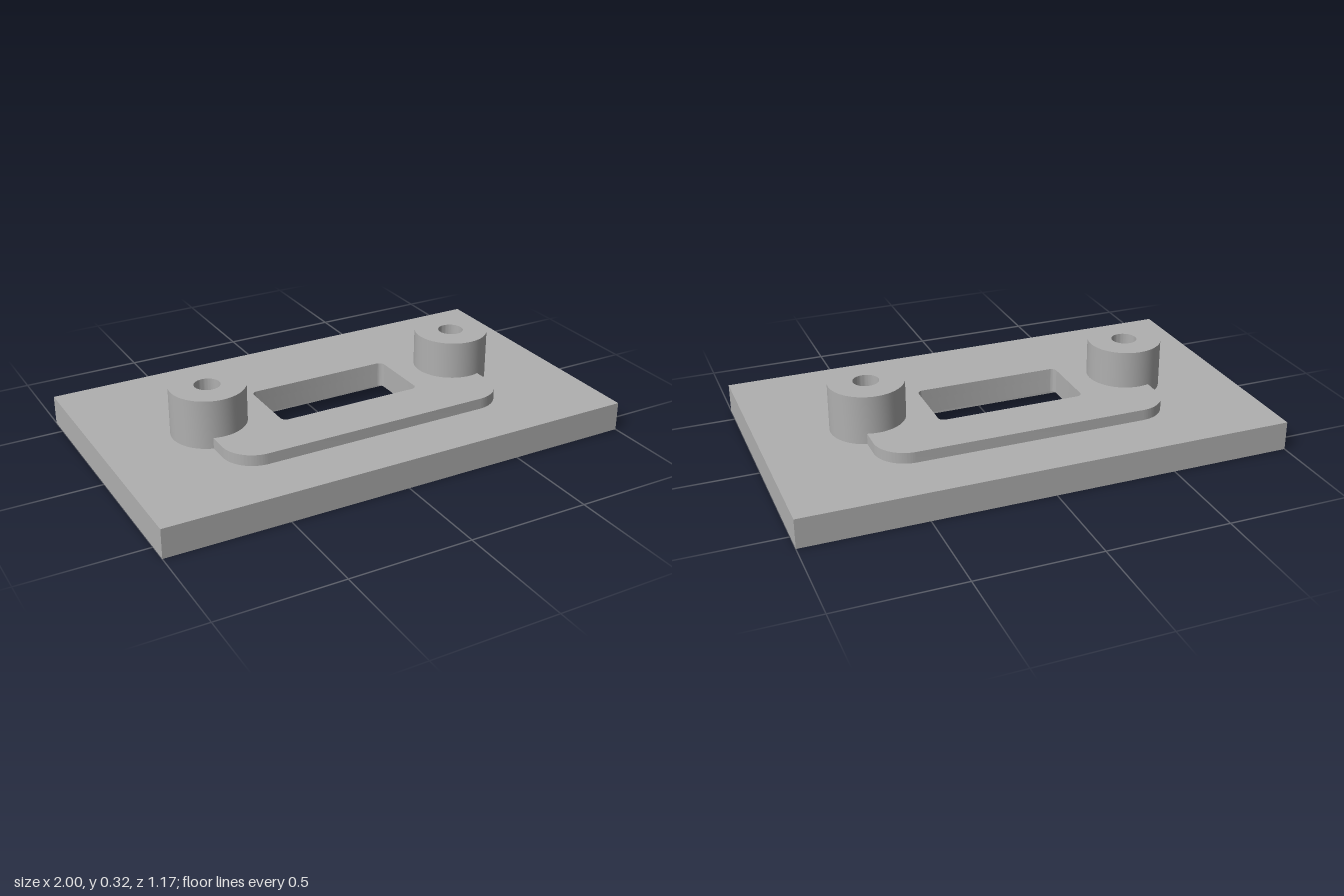
import * as THREE from 'three';
import { toCreasedNormals } from 'three/addons/utils/BufferGeometryUtils.js';

const grey = new THREE.MeshStandardMaterial({ color: 0xb0b0b0 });
grey.name = 'grey';

const BOSS_X = 0.56, BOSS_R = 0.152, BORE_R = 0.052;

// Rounded rectangle from half sizes and corner radius
function roundedRect(path, a, b, r) {
  path.moveTo(a, -b + r);
  path.lineTo(a, b - r);
  path.absarc(a - r, b - r, r, 0, Math.PI / 2);
  path.absarc(-a + r, b - r, r, Math.PI / 2, Math.PI);
  path.absarc(-a + r, -b + r, r, Math.PI, Math.PI * 1.5);
  path.absarc(a - r, -b + r, r, Math.PI * 1.5, Math.PI * 2);
  return path;
}

function rectangle(a, b) {
  return new THREE.Shape([[-a, -b], [a, -b], [a, b], [-a, b]].map(([x, y]) => new THREE.Vector2(x, y)));
}

const windowHole = () => roundedRect(new THREE.Path(), 0.308, 0.143, 0.025);

// Flat outline raised from height y0 to y1
function slab(name, shape, y0, y1) {
  const raw = new THREE.ExtrudeGeometry(shape, { depth: y1 - y0, bevelEnabled: false, curveSegments: 32 });
  raw.rotateX(-Math.PI / 2);
  raw.translate(0, y0, 0);
  const mesh = new THREE.Mesh(toCreasedNormals(raw, Math.PI / 6), grey);
  mesh.name = name;
  return mesh;
}

// Raised pad: rounded rectangle with a round notch at each boss
function padShape() {
  const a = 0.605, b = 0.355, r = 0.13;
  const t = Math.acos((a - BOSS_X) / BOSS_R);
  const s = new THREE.Shape();
  s.moveTo(a, BOSS_R * Math.sin(t));
  s.absarc(a - r, b - r, r, 0, Math.PI / 2);
  s.absarc(-a + r, b - r, r, Math.PI / 2, Math.PI);
  s.absarc(-BOSS_X, 0, BOSS_R, Math.PI - t, t - Math.PI, true);
  s.absarc(-a + r, -b + r, r, Math.PI, Math.PI * 1.5);
  s.absarc(a - r, -b + r, r, Math.PI * 1.5, Math.PI * 2);
  s.absarc(BOSS_X, 0, BOSS_R, -t, t, true);
  s.holes.push(windowHole());
  return s;
}

export function createModel() {
  const model = new THREE.Group();
  model.name = 'mountingPlate';

  // Base plate: lower layer opens into the underside pocket, upper layer only into the window
  const lower = rectangle(1, 0.586);
  lower.holes.push(roundedRect(new THREE.Path(), 0.52, 0.24, 0.11));
  model.add(slab('basePlateLower', lower, 0, 0.06));

  const upper = rectangle(1, 0.586);
  upper.holes.push(windowHole());
  model.add(slab('basePlateUpper', upper, 0.06, 0.12));

  model.add(slab('raisedPad', padShape(), 0.12, 0.165));

  // Screw bosses with blind bores
  for (const [name, side] of [['leftBoss', 1], ['rightBoss', -1]]) {
    const ring = new THREE.Shape().absarc(0, 0, BOSS_R, 0, Math.PI * 2);
    ring.holes.push(new THREE.Path().absarc(0, 0, BORE_R, 0, Math.PI * 2));
    const boss = slab(name, ring, 0.12, 0.32);
    boss.position.x = side * BOSS_X;
    model.add(boss);
  }
  return model;
}
